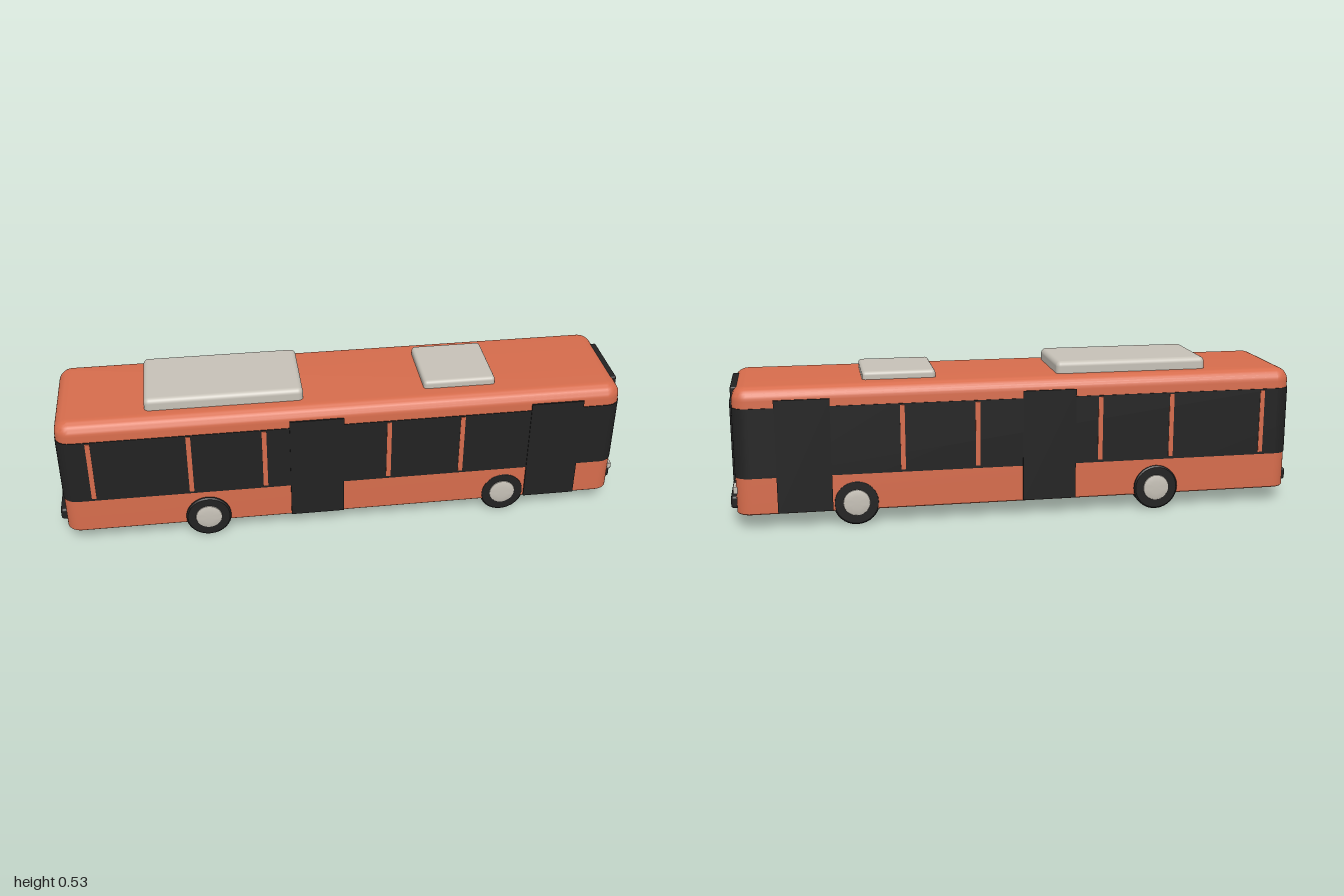
import * as THREE from 'three';
import { toCreasedNormals } from 'three/addons/utils/BufferGeometryUtils.js';
import { RoundedBoxGeometry } from 'three/addons/geometries/RoundedBoxGeometry.js';

const mat = (name, color) => {
  const m = new THREE.MeshStandardMaterial({ color });
  m.name = name;
  return m;
};

// Stack of rounded rectangles; each level is [y, inset from the outer wall]
function roundedLoft(hx, hz, radius, levels, arc = 8) {
  const pos = [], idx = [], n = 4 * (arc + 1);
  for (const [y, inset] of levels) {
    const r = Math.max(radius - inset, 0.002);
    for (let c = 0; c < 4; c++) {
      const sx = c === 0 || c === 3 ? 1 : -1, sz = c < 2 ? 1 : -1;
      for (let i = 0; i <= arc; i++) {
        const a = (c + i / arc) * Math.PI / 2;
        pos.push(sx * (hx - inset - r) + r * Math.cos(a), y, sz * (hz - inset - r) + r * Math.sin(a));
      }
    }
  }
  for (let l = 0; l < levels.length - 1; l++) {
    for (let i = 0; i < n; i++) {
      const a = l * n + i, b = l * n + (i + 1) % n;
      idx.push(a, a + n, b, b, a + n, b + n);
    }
  }
  // Flat floor and roof
  const top = (levels.length - 1) * n;
  for (let i = 1; i < n - 1; i++) idx.push(0, i, i + 1, top, top + i + 1, top + i);
  const g = new THREE.BufferGeometry();
  g.setAttribute('position', new THREE.Float32BufferAttribute(pos, 3));
  g.setIndex(idx);
  return toCreasedNormals(g, 0.6);
}

export function createModel() {
  const bus = new THREE.Group();
  bus.name = 'bus';
  const paint = mat('orange paint', 0xd66c4c);
  const dark = mat('dark glass and rubber', 0x222222);
  const grey = mat('light grey', 0xc6c1b7);

  const add = (name, geo, material, x = 0, y = 0, z = 0, parent = bus) => {
    const m = new THREE.Mesh(geo, material);
    m.name = name;
    m.position.set(x, y, z);
    parent.add(m);
    return m;
  };
  // Box given by its extents
  const box = (name, material, [x0, x1], [y0, y1], [z0, z1], r = 0) => {
    const s = [x1 - x0, y1 - y0, z1 - z0];
    const g = r ? new RoundedBoxGeometry(...s, 4, r) : new THREE.BoxGeometry(...s);
    return add(name, g, material, (x0 + x1) / 2, (y0 + y1) / 2, (z0 + z1) / 2);
  };

  // Body shell with a rounded roof edge
  const levels = [[0.053, 0.003], [0.056, 0]];
  for (let i = 0; i <= 8; i++) {
    const a = i / 8 * Math.PI / 2;
    levels.push([0.445 + 0.044 * Math.sin(a), 0.044 * (1 - Math.cos(a))]);
  }
  add('body', roundedLoft(0.977, 0.208, 0.05, levels), paint);
  add('windowBand', roundedLoft(0.979, 0.2105, 0.052, [[0.181, 0], [0.421, 0]]), dark);

  // Roof units
  box('rearRoofUnit', grey, [-0.674, -0.134], [0.47, 0.531], [-0.144, 0.144], 0.018);
  box('frontRoofUnit', grey, [0.288, 0.54], [0.47, 0.516], [-0.127, 0.127], 0.013);

  // Front and rear fittings
  box('windscreen', dark, [0.965, 0.985], [0.158, 0.438], [-0.145, 0.145], 0.003);
  box('destinationSign', dark, [0.94, 0.982], [0.441, 0.48], [-0.121, 0.121], 0.006);
  box('frontBumper', dark, [0.965, 0.998], [0.06, 0.104], [-0.145, 0.145], 0.01);
  box('rearBumper', dark, [-1, -0.965], [0.06, 0.104], [-0.145, 0.145], 0.01);

  // Wheel profiles, revolved around the axle
  const tyreProfile = [[0, 0], [0.074, 0], [0.079, 0.004], [0.079, 0.062], [0.074, 0.066], [0, 0.066]];
  const hubProfile = [[0.046, 0], [0.045, 0.002], [0.038, 0.004], [0.022, 0.0055], [0, 0.006]];
  const lathe = (p) => toCreasedNormals(
    new THREE.LatheGeometry(p.map(([x, y]) => new THREE.Vector2(x, y)), 32).rotateX(Math.PI / 2), 0.6);
  const tyreGeo = lathe(tyreProfile), hubGeo = lathe(hubProfile);

  for (const side of [1, -1]) {
    const label = side > 0 ? 'Front' : 'Back';
    const span = (a, b) => side > 0 ? [a, b] : [-b, -a];

    box('headlight', grey, [0.955, 0.987], [0.122, 0.146], span(0.118, 0.179), 0.003);

    for (const x of [-0.87, -0.535, -0.278, 0.155, 0.413])
      box('windowPillar' + label, paint, [x - 0.008, x + 0.008], [0.19, 0.416], span(0.206, 0.2125));

    for (const [x0, x1] of [[-0.19, -0.003], [0.655, 0.84]])
      box('door' + label, dark, [x0, x1], [0.056, 0.447], span(0.204, 0.2135));

    // Front wheels sit nearly flush with the body, rear wheels stand proud
    for (const [x, outer] of [[-0.483, 0.218], [0.575, 0.2085]]) {
      const wheel = new THREE.Group();
      wheel.name = 'wheel' + label;
      wheel.position.set(x, 0.079, side * (outer - 0.066));
      if (side < 0) wheel.rotation.y = Math.PI;
      add('tyre', tyreGeo, dark, 0, 0, 0, wheel);
      add('hub', hubGeo, grey, 0, 0, 0.066, wheel);
      bus.add(wheel);
    }
  }
  return bus;
}
